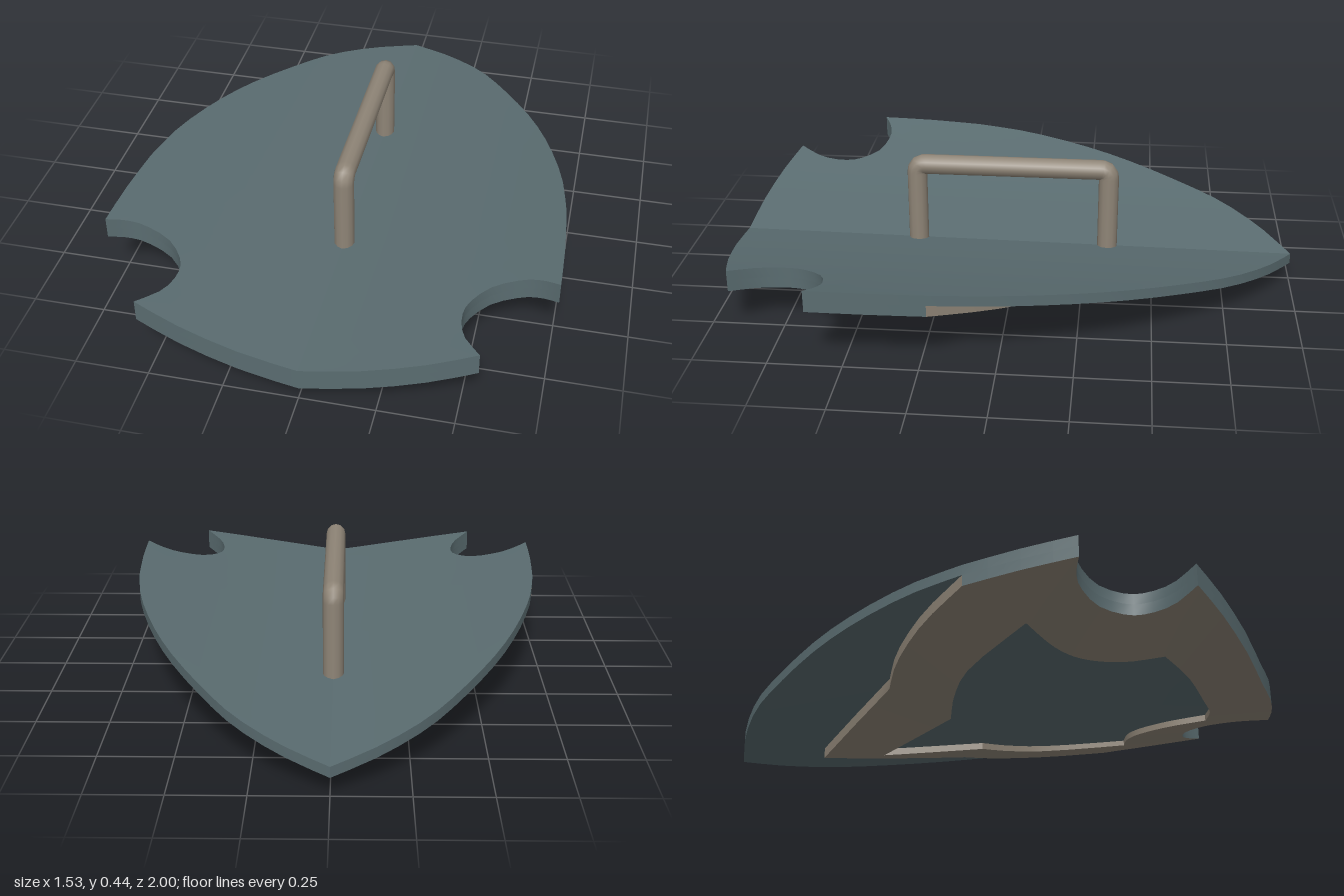
import * as THREE from 'three';
import { toCreasedNormals } from 'three/addons/utils/BufferGeometryUtils.js';

const slate = new THREE.MeshStandardMaterial({ color: 0x5a6c70, side: THREE.DoubleSide });
slate.name = 'slate';
const taupe = new THREE.MeshStandardMaterial({ color: 0x8f8577, side: THREE.DoubleSide });
taupe.name = 'taupe';

// Inner (hand side) surface of the V-bent shield
const height = (x, z) => 0.11 + 0.01 * z + 0.15 * Math.abs(x) + 0.09 * x * x;
const point = (p, depth) => [p[0], height(p[0], p[1]) - depth, p[1]];

// Smooth curve through [x, z] points
function spline(points, n) {
  const curve = new THREE.SplineCurve(points.map(p => new THREE.Vector2(...p)));
  return curve.getPoints(n).map(v => [v.x, v.y]);
}
const join = (...runs) => runs.flatMap((r, i) => (i ? r.slice(1) : r));

// Surface from rows of points, built on both sides of the centre line
function mirroredSurface(name, rows, material, crease, flip = false) {
  const position = [];
  for (const side of [1, -1]) {
    const put = (...tri) => {
      const order = flip !== (side < 0) ? [...tri].reverse() : tri;
      for (const [x, y, z] of order) position.push(x * side, y, z);
    };
    for (let i = 0; i + 1 < rows.length; i++) {
      for (let j = 0; j + 1 < rows[i].length; j++) {
        const a = rows[i][j], b = rows[i + 1][j], c = rows[i + 1][j + 1], d = rows[i][j + 1];
        const same = (p, q) => Math.hypot(p[0] - q[0], p[1] - q[1], p[2] - q[2]) < 1e-6;
        if (!same(a, b) && !same(a, d) && !same(b, d)) put(a, b, d);
        if (!same(b, c) && !same(c, d) && !same(b, d)) put(b, c, d);
      }
    }
  }
  const geometry = new THREE.BufferGeometry();
  geometry.setAttribute('position', new THREE.Float32BufferAttribute(position, 3));
  const mesh = new THREE.Mesh(toCreasedNormals(geometry, crease), material);
  mesh.name = name;
  return mesh;
}

export function createModel() {
  const group = new THREE.Group();
  group.name = 'shield';

  // Half outline, from the pointed tip round to the front centre
  const back = spline([[0, -1], [0.16, -0.9], [0.31, -0.765], [0.43, -0.6], [0.55, -0.4],
    [0.64, -0.2], [0.71, 0.02], [0.745, 0.22]], 16);
  const flank = spline([[0.745, 0.22], [0.76, 0.42], [0.765, 0.61]], 4);
  const notch = spline([[0.765, 0.61], [0.71, 0.583], [0.645, 0.573], [0.55, 0.6], [0.487, 0.67],
    [0.472, 0.74], [0.492, 0.83], [0.555, 0.92]], 16);
  const front = spline([[0.555, 0.92], [0.4, 0.96], [0.2, 0.99], [0, 1]], 6);

  // Matching positions on the centre line, so the cross lines never leave the outline
  const spine = [];
  back.concat(flank.slice(1)).forEach(p => spine.push(-1 + (p[1] + 1) * 0.96 / 1.61));
  notch.slice(1).forEach((p, i) => spine.push(-0.04 + 0.94 * (i + 1) / 16));
  front.slice(1).forEach((p, i) => spine.push(0.9 + 0.1 * (i + 1) / 6));
  const outline = join(back, flank, notch, front);
  const plate = depth => outline.map((p, i) => Array.from({ length: 7 }, (_, j) => {
    const t = j / 6;
    return point([p[0] * (1 - t), p[1] + (spine[i] - p[1]) * t], depth);
  }));

  // Main plate: two faces and the edge, deeper where the rim meets it
  const thin = 0.037, thick = 0.076;
  const wall = (path, top, bottom) => path.map(p => [point(p, top), point(p, bottom)]);
  group.add(mirroredSurface('plateInnerFace', plate(0), slate, 0.2, true));
  group.add(mirroredSurface('plateOuterFace', plate(thin), slate, 0.2));
  group.add(mirroredSurface('plateEdge', wall(outline, 0, thin), slate, 0.6));
  group.add(mirroredSurface('plateLowerEdge', wall(join(flank, notch, front), thin, thick), slate, 0.6));

  // Raised rim on the outer face, lofted between its outer and inner outlines
  const rimFree = join(
    spline([[0, -0.65], [0.17, -0.44], [0.34, -0.22]], 4),
    spline([[0.34, -0.22], [0.47, -0.13], [0.62, 0.03], [0.745, 0.22]], 8));
  const rimOuter = join(rimFree, flank, notch, front);
  const rimInner = join(
    spline([[0, -0.4], [0.075, -0.235], [0.15, -0.07]], 4),
    spline([[0.15, -0.07], [0.28, 0], [0.4, 0.11], [0.55, 0.36]], 8),
    Array.from({ length: 5 }, () => [0.55, 0.36]),
    spline([[0.55, 0.36], [0.42, 0.41], [0.34, 0.48], [0.29, 0.6], [0.28, 0.74]], 16),
    spline([[0.28, 0.74], [0.15, 0.785], [0, 0.8]], 6));
  const innerDepth = p => 0.105 - 0.03 * p[0];
  group.add(mirroredSurface('rimFace', rimOuter.map((p, i) =>
    [point(p, thick), point(rimInner[i], innerDepth(rimInner[i]))]), taupe, 0.2));
  group.add(mirroredSurface('rimOuterWall', wall(rimFree, thin, thick), taupe, 0.5));
  group.add(mirroredSurface('rimInnerWall', rimInner.map(p =>
    [point(p, thin), point(p, innerDepth(p))]), taupe, 0.5, true));

  // Slightly domed panel recessed inside the rim
  group.add(mirroredSurface('centrePanel', rimInner.map(p => {
    const swell = Math.sin(Math.PI * (p[1] + 0.4) / 1.2);
    return [0, 0.25, 0.5, 0.75, 1].map(t =>
      point([p[0] * (1 - t), p[1]], 0.08 - 0.02 * p[0] * (1 - t) + 0.017 * swell * t));
  }), slate, 0.2));

  // Bent rod handle
  const y = 0.405, z0 = 0.358, z1 = -0.335, r = 0.03;
  const v = (py, pz) => new THREE.Vector3(0, py, pz);
  const path = new THREE.CurvePath();
  path.add(new THREE.LineCurve3(v(0.09, z0), v(y - r, z0)));
  path.add(new THREE.QuadraticBezierCurve3(v(y - r, z0), v(y, z0), v(y, z0 - r)));
  path.add(new THREE.LineCurve3(v(y, z0 - r), v(y, z1 + r)));
  path.add(new THREE.QuadraticBezierCurve3(v(y, z1 + r), v(y, z1), v(y - r, z1)));
  path.add(new THREE.LineCurve3(v(y - r, z1), v(0.09, z1)));
  const handle = new THREE.Mesh(new THREE.TubeGeometry(path, 100, 0.036, 12), taupe);
  handle.name = 'handle';
  group.add(handle);

  return group;
}
